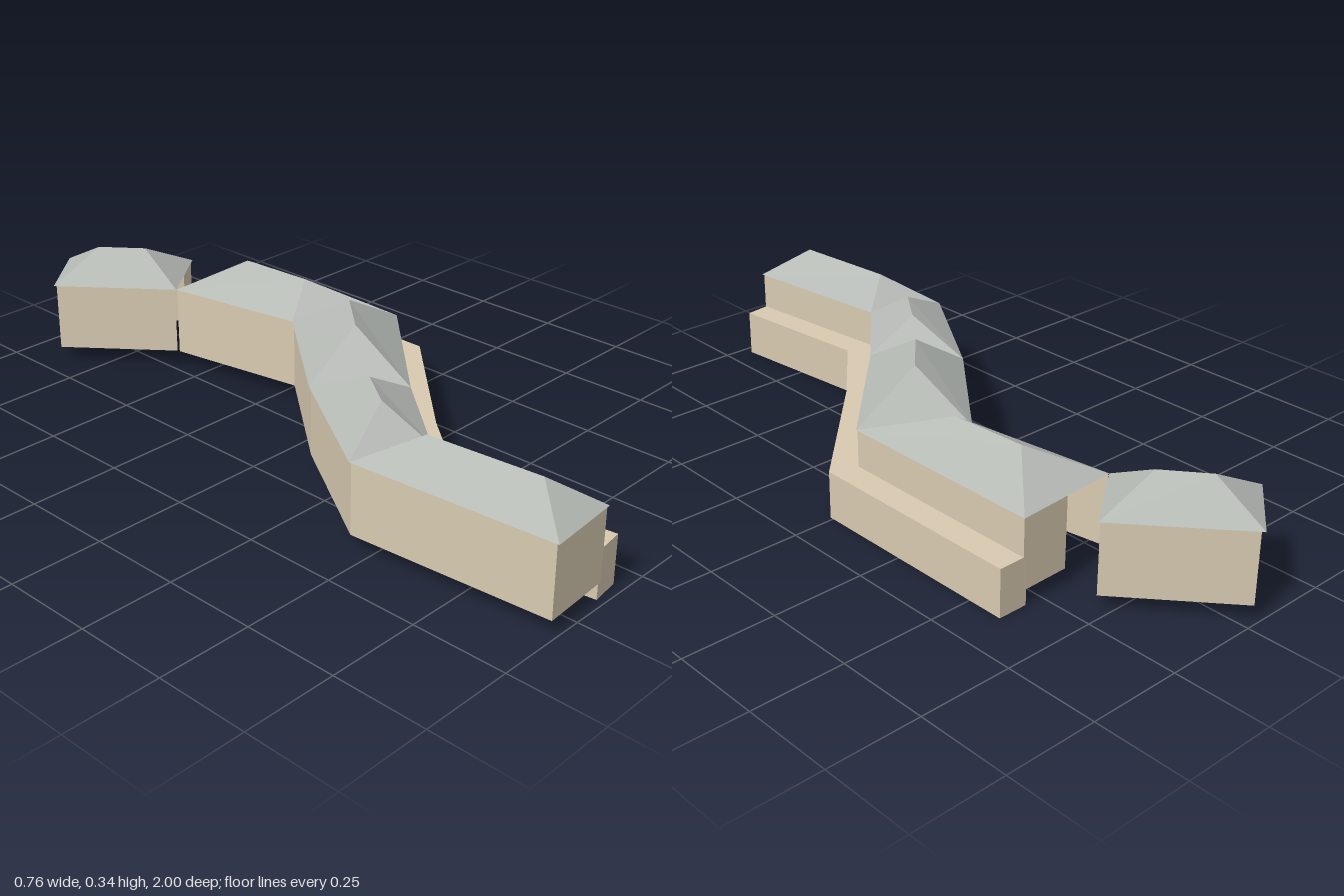
import * as THREE from 'three';

const EAVE = 0.235, WALL_FOOT = 0.042, TERRACE_TOP = 0.13;

const stone = new THREE.MeshStandardMaterial({ color: 0xd8cab1, side: THREE.DoubleSide });
stone.name = 'stone';
const slate = new THREE.MeshStandardMaterial({ color: 0xb6bab5, side: THREE.DoubleSide });
slate.name = 'slate';

// Flat-faced mesh from a list of convex polygons, each a list of [x, y, z]
function facetMesh(name, polygons, material) {
  const pos = [];
  for (const p of polygons) {
    for (let i = 1; i < p.length - 1; i++) pos.push(...p[0], ...p[i], ...p[i + 1]);
  }
  const geometry = new THREE.BufferGeometry();
  geometry.setAttribute('position', new THREE.Float32BufferAttribute(pos, 3));
  geometry.computeVertexNormals();
  const mesh = new THREE.Mesh(geometry, material);
  mesh.name = name;
  return mesh;
}

const at = ([x, z], y) => [x, y, z];

// Vertical wall faces along a plan path
function wallFaces(path, y0, y1) {
  return path.slice(1).map((b, i) => {
    const a = path[i];
    return [at(a, y0), at(a, y1), at(b, y1), at(b, y0)];
  });
}

// Hipped roof over the plan quad l, r, r2, l2 with a ridge from p to q
function hipRoof(name, [l, r, r2, l2], [p, q], ridgeY) {
  const [L, R, R2, L2] = [l, r, r2, l2].map((c) => at(c, EAVE));
  const P = at(p, ridgeY), Q = at(q, ridgeY);
  return facetMesh(name, [
    [P, R, L], [P, Q, R2, R], [Q, L2, R2], [Q, P, L, L2],
    [L, R, R2, L2], // soffit
  ], slate);
}

export function createModel() {
  const model = new THREE.Group();
  model.name = 'terracedBuilding';

  // Main wing walls, with an opening at the back end towards the pavilion
  const wing = [
    [0.17, -0.597], [0.31, -0.6], [0.31, -0.017], [0, 0.295], [-0.192, 0.525],
    [-0.14, 0.98], [-0.335, 0.992], [-0.374, 0.45], [-0.16, 0.117], [0.095, -0.193], [0.027, -0.59],
  ];
  model.add(facetMesh('wingWalls', wallFaces(wing, WALL_FOOT, EAVE), stone));

  // Pavilion walls, open on the half that faces the wing
  const pavilion = [[0.025, -0.597], [-0.19, -0.86], [-0.03, -0.99], [0.2, -0.725], [0.115, -0.66]];
  model.add(facetMesh('pavilionWalls', wallFaces(pavilion.reverse(), WALL_FOOT, EAVE), stone));

  // Low terrace following the outer side of the wing
  const outer = [[0.382, -0.6], [0.382, 0.01], [0.06, 0.34], [-0.115, 0.55], [-0.07, 0.97]];
  const inner = [[0.3, -0.6], [0.3, -0.03], [-0.01, 0.282], [-0.204, 0.52], [-0.15, 0.98]];
  const loop = [...outer, ...inner.slice().reverse(), outer[0]];
  const paving = outer.slice(1).map((o, i) =>
    [at(inner[i], TERRACE_TOP), at(inner[i + 1], TERRACE_TOP), at(o, TERRACE_TOP), at(outer[i], TERRACE_TOP)]);
  model.add(facetMesh('terrace', [...wallFaces(loop, 0, TERRACE_TOP), ...paving], stone));

  // Chain of hipped roofs sharing their end eaves
  const left = [[0.022, -0.588], [0.09, -0.195], [-0.165, 0.115], [-0.381, 0.45], [-0.34, 1]];
  const right = [[0.315, -0.605], [0.317, -0.02], [0.005, 0.3], [-0.188, 0.53], [-0.135, 0.983]];
  const ridges = [
    [[0.18, -0.455], [0.192, -0.245]],
    [[0.115, -0.01], [0.008, 0.11]],
    [[-0.142, 0.295], [-0.217, 0.4]],
    [[-0.273, 0.585], [-0.247, 0.887]],
  ];
  const heights = [0.314, 0.345, 0.314, 0.314];
  ridges.forEach((ridge, i) => {
    model.add(hipRoof(`wingRoof${i + 1}`, [left[i], right[i], right[i + 1], left[i + 1]], ridge, heights[i]));
  });

  // Pavilion roof
  model.add(hipRoof('pavilionRoof',
    [[-0.2, -0.86], [-0.033, -1], [0.207, -0.725], [0.022, -0.588]],
    [[-0.042, -0.845], [0.042, -0.74]], 0.314));

  return model;
}
